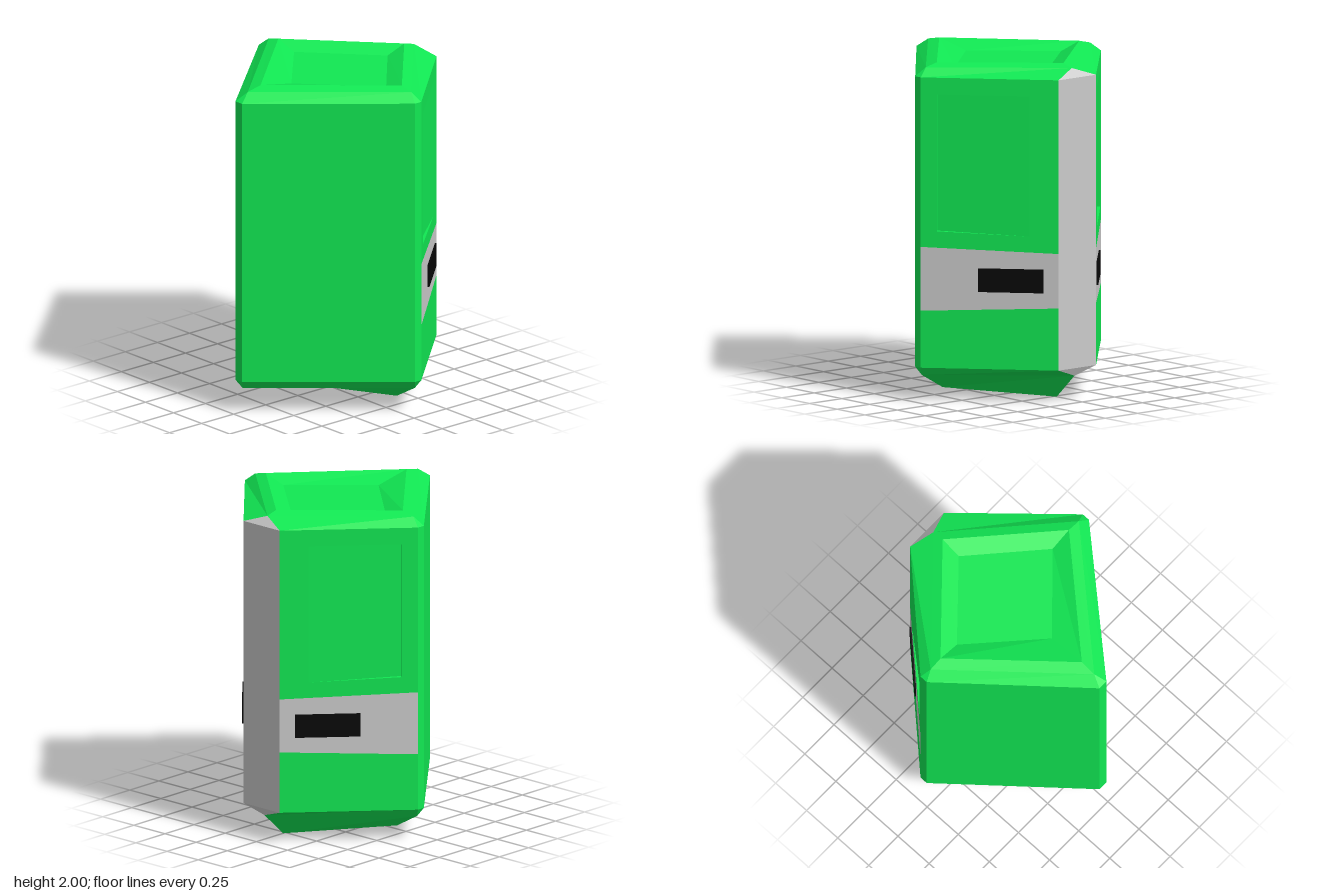
import * as THREE from 'three';

const V = (x, y, z) => new THREE.Vector3(x, y, z);
const mat = (color) => new THREE.MeshStandardMaterial({ color, flatShading: true });

// Builds one mesh from a list of convex polygons (counter-clockwise from outside)
function polyMesh(name, polys, material) {
  const pos = [];
  for (const p of polys)
    for (let i = 1; i < p.length - 1; i++)
      for (const v of [p[0], p[i], p[i + 1]]) pos.push(v.x, v.y, v.z);
  const g = new THREE.BufferGeometry();
  g.setAttribute('position', new THREE.Float32BufferAttribute(pos, 3));
  g.computeVertexNormals();
  const m = new THREE.Mesh(g, material);
  m.name = name;
  return m;
}

export function createModel() {
  const root = new THREE.Group();
  root.name = 'cabinet';
  const green = mat(0x11e853), grey = mat(0xcccccc), black = mat(0x080808);

  // Corner order: front, right, back, left; each corner is cut by a narrow chamfer
  const Y0 = 0.2, Y1 = 1.93;
  const A = [[0.055, 0.695], [0.705, 0.145], [0.105, -0.695], [-0.71, -0.03]];
  const B = [[0.105, 0.695], [0.705, -0.145], [0.055, -0.695], [-0.71, 0.03]];
  const at = ([x, z], y) => V(x, y, z);
  // A four-cornered ring: right x, left x, front/back z and heights
  const ring = (r, l, z, yr, yl, yz) => [V(0.08, yz, z), V(r, yr, 0), V(0.08, yz, -z), V(l, yl, 0)];
  const level = (r, l, z, y) => ring(r, l, z, y, y, y);
  const band = (P, Q) => P.map((p, i) => [p, P[(i + 1) % 4], Q[(i + 1) % 4], Q[i]]);
  const flip = (polys) => polys.map((p) => [...p].reverse());

  // Bevel between the chamfered outline and a ring; corner 1 is trim
  const bevel = (y, P) => {
    const sides = [], corners = [];
    for (let i = 0; i < 4; i++) {
      const j = (i + 1) % 4;
      corners.push([at(A[i], y), at(B[i], y), P[i]]);
      sides.push([at(B[i], y), at(A[j], y), P[j], P[i]]);
    }
    const trim = corners.splice(1, 1);
    return { green: [...sides, ...corners], trim };
  };

  // Roof with a shallow sunken panel
  const T1 = level(0.655, -0.64, 0.635, 1.98);
  const T2 = level(0.58, -0.54, 0.55, 2.0);
  const T3 = level(0.45, -0.3, 0.41, 1.955);
  const top = bevel(Y1, T1);
  root.add(polyMesh('roof', [...top.green, ...band(T1, T2), ...band(T2, T3), T3], green));

  // Sloping underside with a dark base plate
  const U1 = level(0.68, -0.68, 0.665, 0.15);
  const U2 = ring(0.52, -0.36, 0.505, 0.003, 0.115, 0.059);
  const low = bevel(Y0, U1);
  root.add(polyMesh('underside', flip([...low.green, ...band(U1, U2)]), green));
  root.add(polyMesh('basePlate', flip([U2]), black));

  // Plain walls and corner chamfers
  const wall = (p, q) => [at(p, Y0), at(q, Y0), at(q, Y1), at(p, Y1)];
  root.add(polyMesh('plainWalls', [wall(B[2], A[3]), wall(B[3], A[0])], green));
  root.add(polyMesh('cornerChamfers', [0, 2, 3].map((i) => wall(A[i], B[i])), green));
  root.add(polyMesh('cornerTrim', [wall(A[1], B[1]), ...top.trim, ...flip(low.trim)], grey));

  // The two detailed walls mirror each other across z = 0
  const n = V(0.55, 0, 0.6).normalize();
  for (const s of [1, -1]) {
    const side = new THREE.Group();
    side.name = s > 0 ? 'frontDetailedWall' : 'backDetailedWall';
    // Point on the wall: t runs along it, d is the offset outward
    const on = (t, y, d = 0) =>
      V(0.105 + 0.6 * t + n.x * d, y, s * (0.695 - 0.55 * t + n.z * d));
    const fix = (polys) => (s > 0 ? polys : flip(polys));
    const quad = (t0, t1, a0, a1, b0, b1) => [on(t0, a0), on(t1, a1), on(t1, b1), on(t0, b0)];

    const t0 = 0.117, t1 = 0.79, p0 = 1.015, p1 = 0.995, pt = 1.83, d = -0.025;
    const bandTop = (t) => 0.92 - 0.025 * t;
    side.add(polyMesh('wallPanels', fix([
      quad(0, 1, Y0, Y0, 0.54, 0.57),
      quad(0, t0, bandTop(0), bandTop(t0), Y1, Y1),
      quad(t1, 1, bandTop(t1), bandTop(1), Y1, Y1),
      quad(t0, t1, pt, pt, Y1, Y1),
      quad(t0, t1, bandTop(t0), bandTop(t1), p0, p1),
    ]), green));

    // Slanted inset panel, deepest at the outer edge
    side.add(polyMesh('insetPanel', fix([
      [on(t0, p0, d), on(t1, p1), on(t1, pt), on(t0, pt, d)],
      [on(t0, p0), on(t0, p0, d), on(t0, pt, d), on(t0, pt)],
      [on(t0, pt), on(t0, pt, d), on(t1, pt)],
      [on(t0, p0, d), on(t0, p0), on(t1, p1)],
    ]), green));

    side.add(polyMesh('greyBand', fix([quad(0, 1, 0.54, 0.57, bandTop(0), bandTop(1))]), grey));

    // Dark slot plate
    const slot = new THREE.Mesh(new THREE.BoxGeometry(0.385, 0.14, 0.02), black);
    slot.name = 'slot';
    slot.position.copy(on(0.654, 0.73));
    slot.rotation.y = Math.atan2(n.x, s * n.z);
    side.add(slot);
    root.add(side);
  }
  return root;
}
